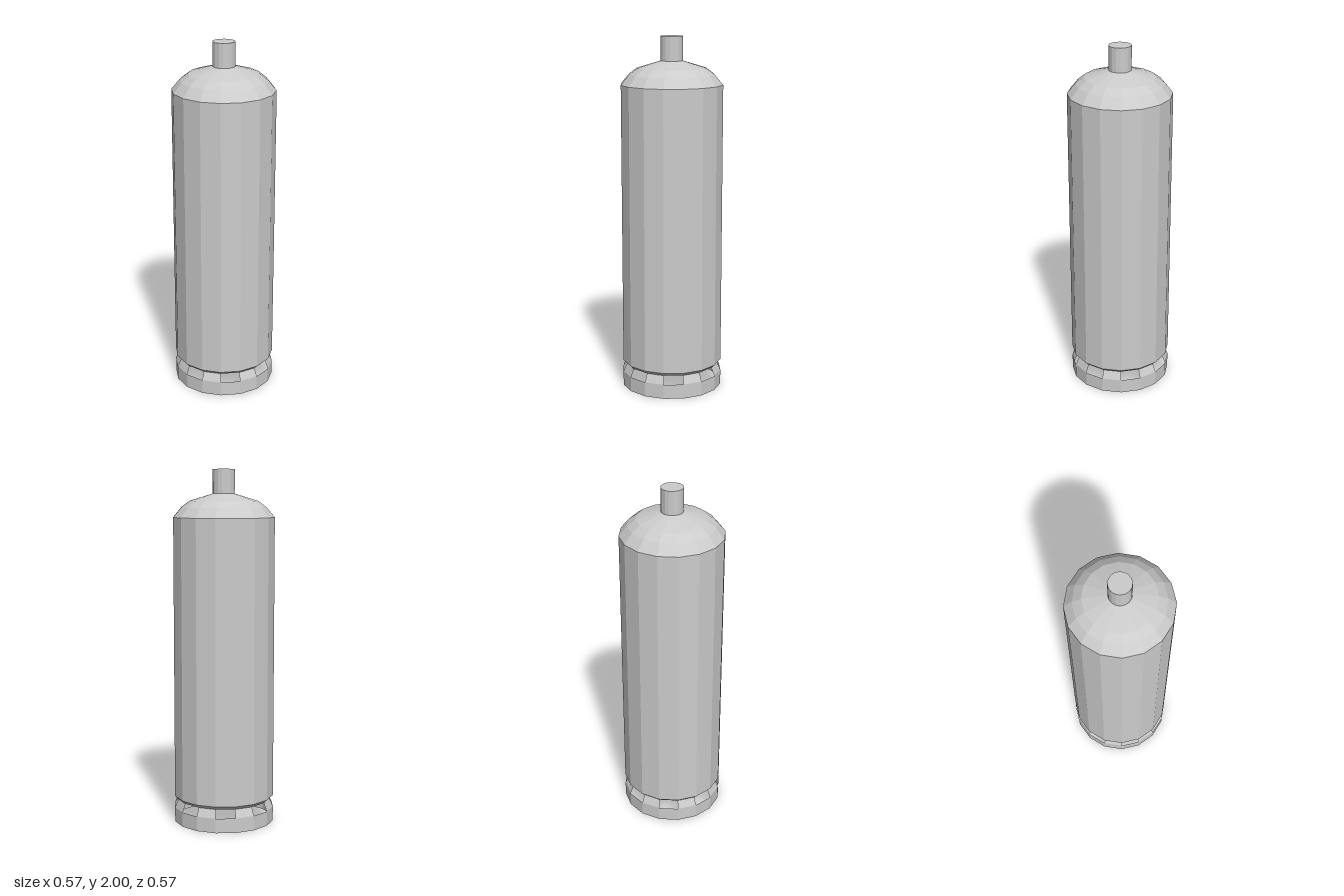
import * as THREE from 'three';

const SIDES = 16;
const STEP = (Math.PI * 2) / SIDES;
const R = 0.2865;       // shell and foot radius
const WAIST = 0.266;    // narrowed radius where the foot meets the shell
const NECK = 0.062;

const metal = new THREE.MeshStandardMaterial({ color: 0xcccccc, flatShading: true });
const sheet = new THREE.MeshStandardMaterial({ color: 0xcccccc, flatShading: true, side: THREE.DoubleSide });

// Revolve [radius, height] pairs, listed from bottom to top
function lathe(name, profile, material, segments = SIDES, start = 0) {
  const points = profile.map(([r, y]) => new THREE.Vector2(r, y));
  const geometry = new THREE.LatheGeometry(points, segments, start, segments * STEP);
  const mesh = new THREE.Mesh(geometry, material);
  mesh.name = name;
  return mesh;
}

export function createModel() {
  const model = new THREE.Group();
  model.name = 'gasCylinder';

  // Closed tank: flat bottom, tapered lower edge, straight wall, domed shoulder
  model.add(lathe('tank', [
    [0, 0.13], [WAIST, 0.13], [R, 0.15], [R, 1.735],
    [0.241, 1.79], [0.194, 1.825], [NECK, 1.865], [0, 1.865],
  ], metal));

  // Valve neck
  const neck = new THREE.Mesh(new THREE.CylinderGeometry(NECK, NECK, 0.14, SIDES), metal);
  neck.name = 'neck';
  neck.position.y = 1.93;
  model.add(neck);

  // Thin foot ring, joined to the tank by a tab on every second side
  const foot = new THREE.Group();
  foot.name = 'foot';
  foot.add(lathe('footRing', [[R, 0], [R, 0.083]], sheet));
  for (let i = 0; i < SIDES; i += 2) {
    foot.add(lathe('footTab', [[R, 0.083], [WAIST, 0.13]], sheet, 1, i * STEP));
  }
  model.add(foot);

  return model;
}
